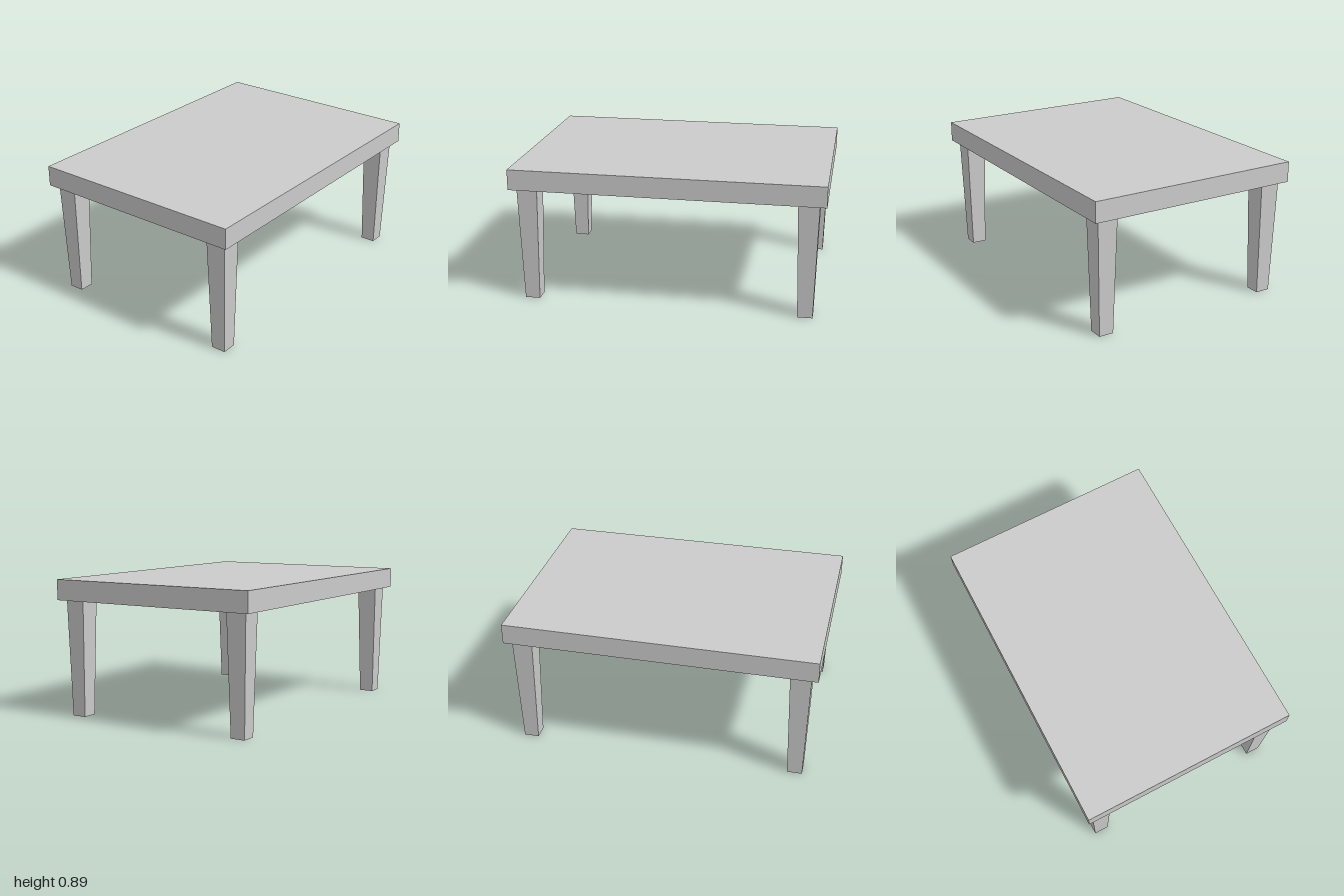
import * as THREE from 'three';

const WIDTH = 2, DEPTH = 1.424, HEIGHT = 0.888, LEG_HEIGHT = 0.755;
const LEG_TOP = 0.133, LEG_FOOT = 0.096;

// Square leg, tapering evenly towards the foot
function taperedLeg() {
  const geometry = new THREE.BoxGeometry(LEG_TOP, LEG_HEIGHT, LEG_TOP);
  const position = geometry.attributes.position;
  const taper = LEG_FOOT / LEG_TOP;
  for (let i = 0; i < position.count; i++) {
    if (position.getY(i) < 0) {
      position.setX(i, position.getX(i) * taper);
      position.setZ(i, position.getZ(i) * taper);
    }
  }
  geometry.computeVertexNormals();
  return geometry;
}

export function createModel() {
  const table = new THREE.Group();
  table.name = 'table';
  const material = new THREE.MeshStandardMaterial({ color: 0xcccccc, flatShading: true });

  // Thick rectangular slab
  const thickness = HEIGHT - LEG_HEIGHT;
  const top = new THREE.Mesh(new THREE.BoxGeometry(WIDTH, thickness, DEPTH), material);
  top.name = 'tableTop';
  top.position.y = LEG_HEIGHT + thickness / 2;
  table.add(top);

  // Four legs, mirrored to the corners
  const legGeometry = taperedLeg();
  for (const [side, x] of [['Left', 0.89], ['Right', -0.89]]) {
    for (const [end, z] of [['front', 0.604], ['back', -0.604]]) {
      const leg = new THREE.Mesh(legGeometry, material);
      leg.name = `${end}${side}Leg`;
      leg.position.set(x, LEG_HEIGHT / 2, z);
      table.add(leg);
    }
  }
  return table;
}
